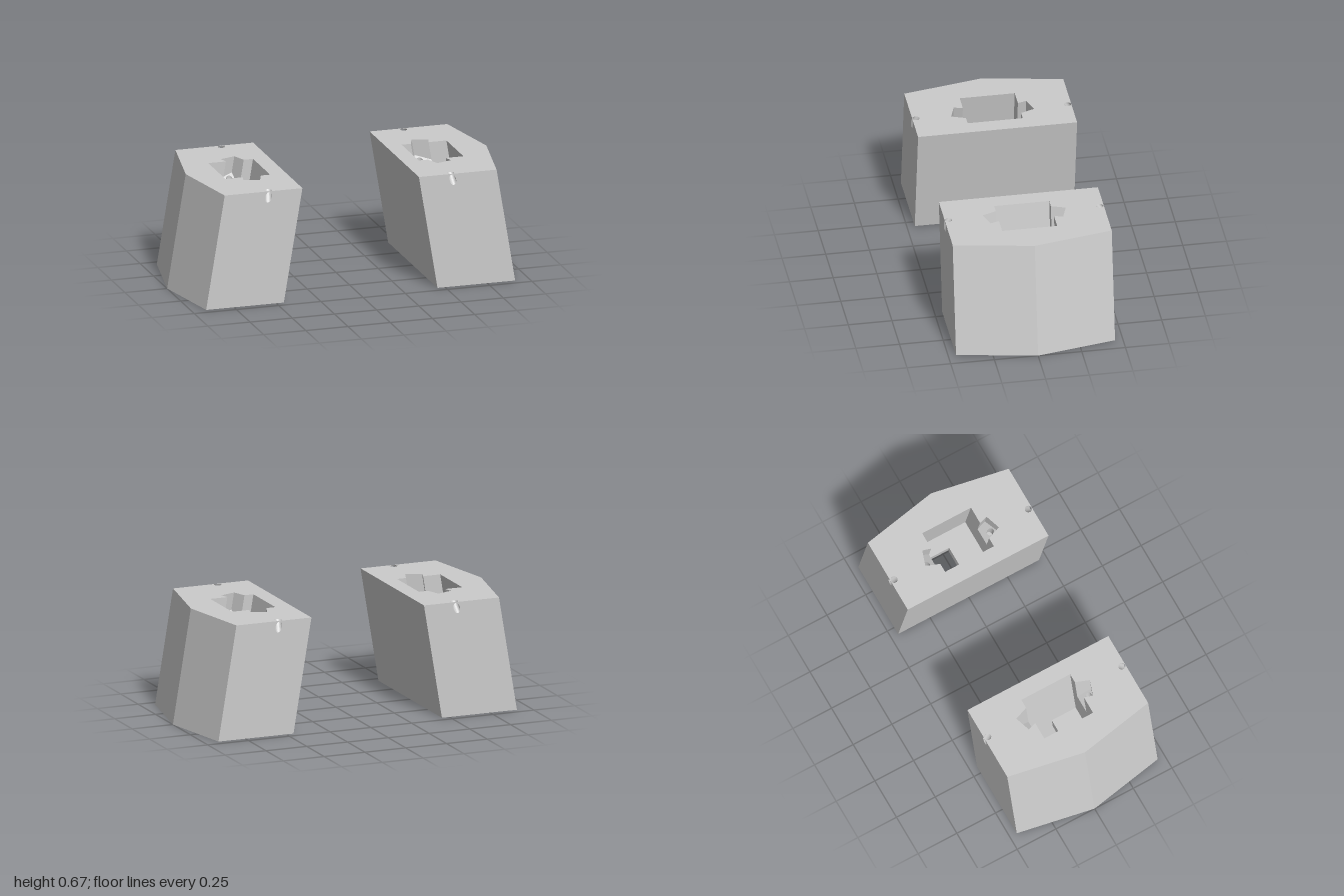
import * as THREE from 'three';
import { mergeGeometries } from 'three/addons/utils/BufferGeometryUtils.js';

const H = 0.665, LEAN = 0.11;          // height, outward lean at the base
const FLOOR = 0.27, CEILING = 0.2;     // shelf inside the block
const POCKET = H - 0.17;               // inner edge of the screw pockets

const v2 = (pts) => pts.map(([x, y]) => new THREE.Vector2(x, y));
const ring = (cx, cy, rx, ry = rx, n = 24) => Array.from({ length: n }, (_, i) => {
  const a = (i / n) * Math.PI * 2;
  return [cx + rx * Math.cos(a), cy + ry * Math.sin(a)];
});

function createBlock(side) {
  const block = new THREE.Group();
  const material = new THREE.MeshStandardMaterial({
    color: 0xcccccc, flatShading: true, side: THREE.DoubleSide,
  });
  // plan position at the top, leaned outward with depth
  const place = (x, y, z) => [side * (x + LEAN * (1 - y / H)), y, z];

  // flat or sloped sheet: a shape with holes, mapped into space
  const panel = (loop, holes, map) => {
    const shape = new THREE.Shape(v2(loop));
    holes.forEach((h) => shape.holes.push(new THREE.Path(v2(h))));
    const g = new THREE.ShapeGeometry(shape);
    g.deleteAttribute('uv');
    const p = g.attributes.position;
    for (let i = 0; i < p.count; i++) p.setXYZ(i, ...map(p.getX(i), p.getY(i)));
    const flat = g.toNonIndexed();
    flat.computeVertexNormals();
    return flat;
  };
  const level = (loop, holes, y) => panel(loop, holes, (x, z) => place(x, y, z));

  // band of quads between two rings of 3D points
  const band = (a, b, closed = true) => {
    const pos = [];
    for (let i = 0; i < a.length - (closed ? 0 : 1); i++) {
      const j = (i + 1) % a.length;
      pos.push(...a[i], ...b[i], ...b[j], ...a[i], ...b[j], ...a[j]);
    }
    const g = new THREE.BufferGeometry();
    g.setAttribute('position', new THREE.Float32BufferAttribute(pos, 3));
    g.computeVertexNormals();
    return g;
  };
  const walls = (loop, y0, y1, closed = true) => band(
    loop.map(([x, z]) => place(x, y0, z)), loop.map(([x, z]) => place(x, y1, z)), closed);

  const add = (name, ...parts) => {
    const mesh = new THREE.Mesh(mergeGeometries(parts), material);
    mesh.name = name;
    block.add(mesh);
  };

  const D = 0.455;
  const outline = [[0.345, D], [0.345, -D], [0.805, -D], [0.89, 0], [0.805, D]];
  const backTab = [[0.495, -0.16], [0.525, -0.24], [0.615, -0.21], [0.6, -0.16]];
  const frontTab = backTab.map(([x, z]) => [x, -z - 0.005]).reverse();
  const opening = [[0.44, -0.16], [0.705, -0.16], [0.705, 0.155], [0.44, 0.155]];
  const tabbedOpening = [opening[0], ...backTab, opening[1], opening[2], ...frontTab, opening[3]];
  const passage = [[0.44, -0.16], [0.615, -0.16], [0.615, 0], [0.44, 0]];
  const cavity = [[0.44, -0.29], [0.68, -0.29], [0.68, 0.29], [0.44, 0.29]];
  const endHoles = [-1, 1].map((s) => ring(0.54, s * 0.433, 0.02));

  // outer skin
  add('sideWalls', walls(outline.slice(0, 2), 0, H, false), walls(outline.slice(2), 0, H, false));
  add('topFace', level(outline, [tabbedOpening, ...endHoles], H));
  add('bottomFace', level(outline, [cavity, ...endHoles], 0));

  // end walls with slots, and the slanted holes that break through them
  [-1, 1].forEach((s, k) => {
    const slot = ring(0.54, 0.63, 0.02, 0.031);
    const endShape = [[0.345, 0], [0.805, 0], [0.805, H], [0.345, H]];
    const name = s > 0 ? 'front' : 'back';
    add(name + 'Wall', panel(endShape, [slot], (x, y) => place(x, y, s * D)));
    const mouth = ring(0.54, 0.433, 0.02).map(([x, z]) => place(x, H, s * z));
    add(name + 'SlantedHole', band(mouth, slot.map(([x, y]) => place(x, y, s * D))));
    add(name + 'BaseHole', walls(endHoles[k], 0, 0.07), level(endHoles[k], [], 0.07));
  });

  // upper opening, with a half shelf and a passage down
  add('upperOpening', walls(tabbedOpening, POCKET, H), walls(opening, FLOOR, POCKET));
  add('shelf',
    level([[0.615, -0.16], [0.705, -0.16], [0.705, 0.155], [0.44, 0.155], [0.44, 0], [0.615, 0]], [], FLOOR),
    walls(passage, CEILING, FLOOR),
    level([cavity[0], cavity[1], cavity[2], cavity[3], passage[3], passage[2], passage[1], passage[0]], [], CEILING));
  add('lowerCavity', walls(cavity, 0, CEILING));

  // sloped screw pockets
  [[backTab, -0.207], [frontTab, 0.202]].forEach(([tab, z0]) => {
    const slope = (x, z) => place(x, POCKET + (Math.abs(z) - 0.155) * 0.9, z);
    const hole = ring(0.545, z0, 0.019);
    const bottom = hole.map(([x, z]) => place(x, POCKET - 0.05, z));
    add(z0 < 0 ? 'backPocket' : 'frontPocket',
      panel(tab, [hole], slope),
      band(hole.map(([x, z]) => slope(x, z)), bottom),
      level(hole, [], POCKET - 0.05));
  });
  return block;
}

export function createModel() {
  const model = new THREE.Group();
  [1, -1].forEach((side) => {
    const block = createBlock(side);
    block.name = side > 0 ? 'leftBlock' : 'rightBlock';
    model.add(block);
  });
  return model;
}
